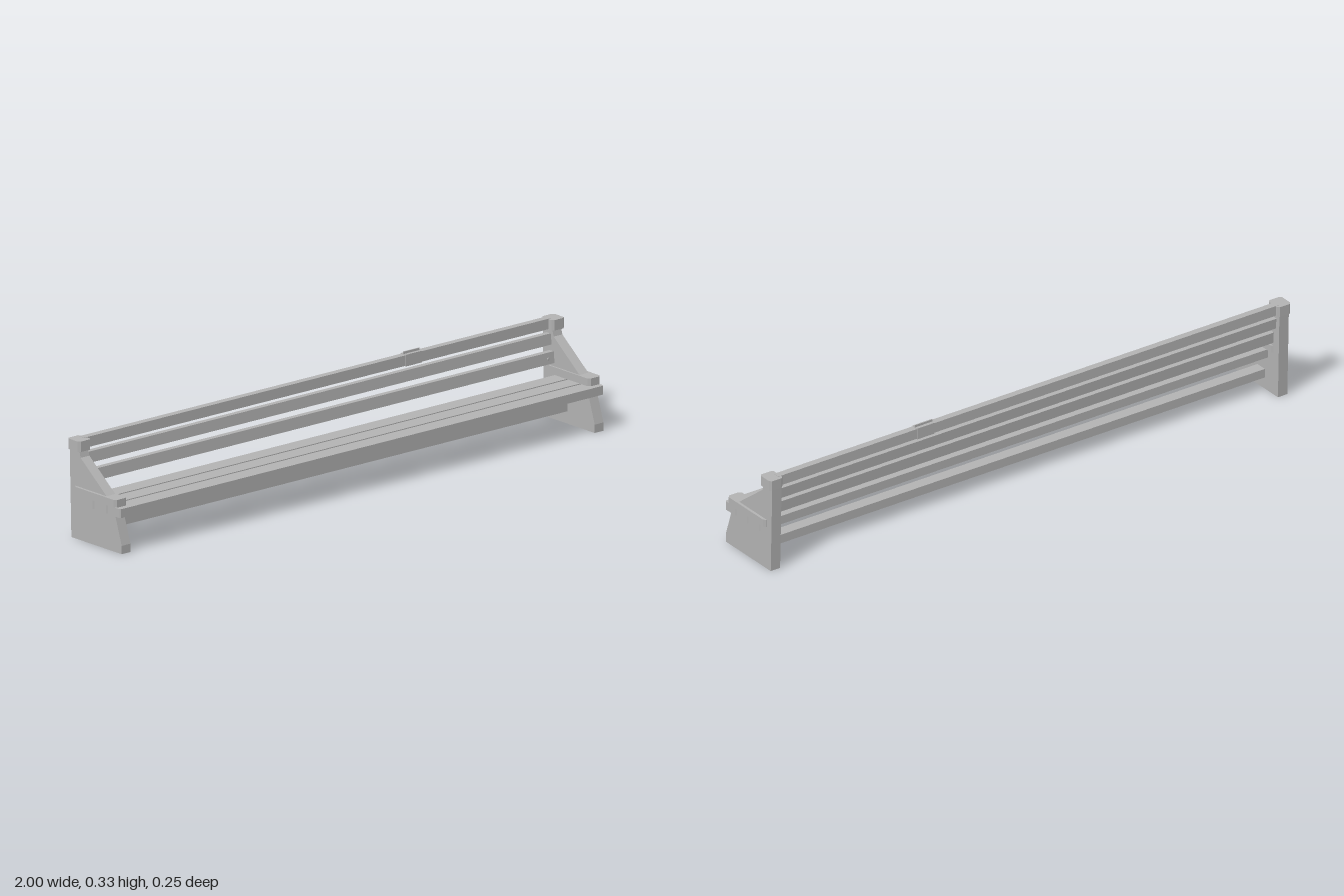
import * as THREE from 'three';

const wood = new THREE.MeshStandardMaterial({ color: 0xb2b2b2 });
wood.name = 'grey wood';

export function createModel() {
  const bench = new THREE.Group();
  bench.name = 'bench';

  const add = (name, geometry, x = 0, y = 0, z = 0) => {
    const mesh = new THREE.Mesh(geometry, wood);
    mesh.name = name;
    mesh.position.set(x, y, z);
    bench.add(mesh);
    return mesh;
  };

  // Board with chamfered vertical corners, given by its extents
  const board = (name, x0, x1, y0, y1, z0, z1, c) => {
    const w = (x1 - x0) / 2, d = (z1 - z0) / 2;
    const shape = new THREE.Shape([
      [-w + c, -d], [w - c, -d], [w, -d + c], [w, d - c],
      [w - c, d], [-w + c, d], [-w, d - c], [-w, -d + c],
    ].map(p => new THREE.Vector2(...p)));
    const g = new THREE.ExtrudeGeometry(shape, { depth: y1 - y0, bevelEnabled: false });
    g.rotateX(-Math.PI / 2);
    return add(name, g, (x0 + x1) / 2, y0, (z0 + z1) / 2);
  };

  // End panel outline as (z, y)
  const panelShape = new THREE.Shape([
    [0.125, 0], [0.125, 0.027], [0.085, 0.147], [-0.07, 0.268],
    [-0.077, 0.292], [-0.122, 0.292], [-0.114, 0],
  ].map(p => new THREE.Vector2(...p)));
  const panel = new THREE.ExtrudeGeometry(panelShape, { depth: 0.036, bevelEnabled: false });
  panel.translate(0, 0, -0.018);
  panel.rotateY(-Math.PI / 2);

  // Ends: panel, armrest and post cap, mirrored
  for (const [side, s] of [['left', 1], ['right', -1]]) {
    const inner = Math.min(s * 0.949, s), outer = Math.max(s * 0.949, s);
    add(side + 'EndPanel', panel, s * 0.973);
    board(side + 'Armrest', inner, outer, 0.147, 0.172, -0.093, 0.105, 0.008);
    board(side + 'PostCap', inner, outer, 0.288, 0.322, -0.124, -0.067, 0.007);
  }

  // Seat planks run through the end panels
  [[0.066, 0.123], [0.003, 0.059], [-0.06, -0.004]].forEach(([z0, z1], i) =>
    board('seatPlank' + (i + 1), -0.995, 0.995, 0.117, 0.146, z0, z1, 0.004));

  // Back slats between the ends, leaning slightly
  [
    [0.306, 0.034, -0.1, 0],
    [0.257, 0.036, -0.093, -0.08],
    [0.201, 0.038, -0.079, -0.08],
  ].forEach(([y, h, z, tilt], i) => {
    add('backSlat' + (i + 1), new THREE.BoxGeometry(1.92, h, 0.023), 0, y, z).rotation.x = tilt;
  });

  // Bolts at the ends of the lowest back slat
  for (const s of [-1, 1]) {
    const bolt = new THREE.CylinderGeometry(0.004, 0.004, 0.005, 10);
    bolt.rotateX(Math.PI / 2);
    add('slatBolt', bolt, s * 0.93, 0.201, -0.066);
  }

  // Stretcher below the seat
  add('stretcher', new THREE.BoxGeometry(1.92, 0.03, 0.04), 0, 0.055, -0.025);

  // Small clip wrapped around the top slat, with an upright fin
  add('clipBand', new THREE.BoxGeometry(0.066, 0.038, 0.026), 0.395, 0.306, -0.1);
  add('clipFin', new THREE.BoxGeometry(0.066, 0.009, 0.004), 0.395, 0.328, -0.1);

  return bench;
}
